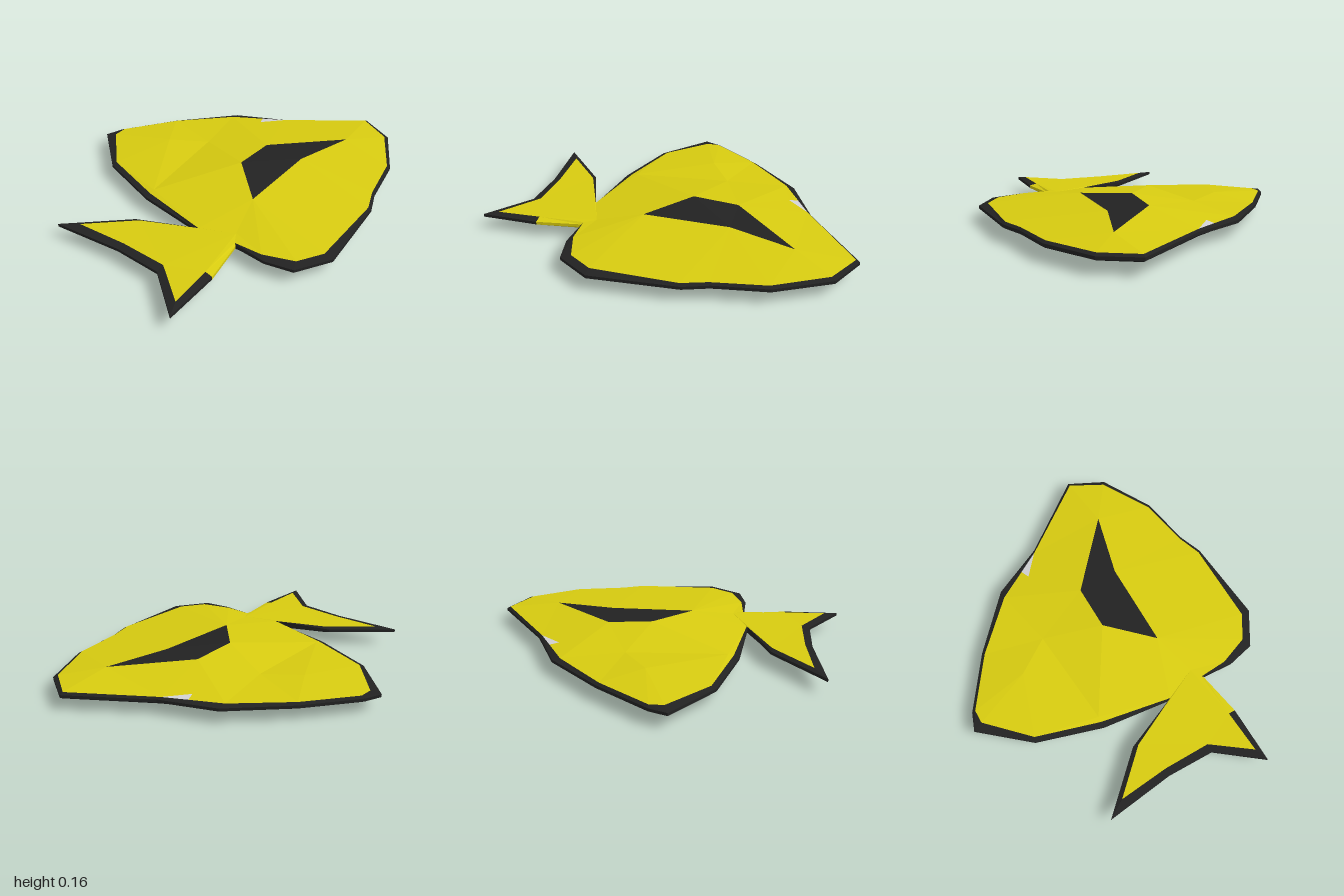
import * as THREE from 'three';

const MID = 0.082;   // height of the symmetry plane
const EDGE = 0.018;  // half thickness where faces meet the rim
const LIP = 0.008;   // half thickness at the outermost edge

// Outline, clockwise from above: outer x, outer z, inner x, inner z
const outline = [
  [-0.465, 0.16, -0.46, 0.17], [-0.42, -0.22, -0.39, -0.22], [-0.31, -0.58, -0.285, -0.57],
  [-0.095, -0.835, -0.075, -0.78], [0, -0.8, 0, -0.78], [0.28, -0.6, 0.265, -0.59],
  [0.56, -0.34, 0.515, -0.34], [0.7, -0.05, 0.68, -0.06], [0.995, 0.34, 0.975, 0.34],
  [0.9, 0.535, 0.88, 0.52], [0.625, 0.69, 0.615, 0.675], [0.35, 0.74, 0.34, 0.728],
  [0.22, 0.79, 0.21, 0.775], [-0.24, 0.83, -0.24, 0.78], [-0.42, 0.72, -0.37, 0.7],
  [-0.455, 0.57, -0.43, 0.54], [-0.445, 0.395, -0.44, 0.385],
  // tail fin
  [-0.69, 0.44, -0.69, 0.4], [-1, 0.445, -0.925, 0.415], [-0.82, 0.21, -0.775, 0.21],
  [-0.815, -0.05, -0.775, -0.05], [-0.86, -0.43, -0.8, -0.33], [-0.59, -0.14, -0.595, -0.11],
];

// Interior points: x, z, half thickness
const interior = [
  [0.07, 0.05, 0.08], [0.32, 0.05, 0.065], [0.68, 0.37, 0.043], [0.33, 0.28, 0.058], [-0.14, 0.28, 0.058], // side patch
  [-0.36, -0.22, 0.024], [0.18, -0.27, 0.034], [0.05, -0.46, 0.043], [-0.38, 0.35, 0.022], // folds
  [0.56, -0.16, 0.0245], [0.609, -0.18, EDGE], // eye corners
];

// Triangles of one side: outline points are 0-22, interior points 23-33
const skinTris = [
  0, 1, 28, 1, 2, 28, 2, 30, 28, 2, 3, 30, 3, 4, 30, 4, 5, 30, 5, 29, 30, 28, 30, 29,
  5, 6, 29, 6, 24, 29, 6, 33, 32, 6, 32, 24, 32, 7, 24, 7, 25, 24, 7, 8, 25, 8, 9, 25,
  9, 10, 25, 10, 26, 25, 10, 11, 26, 11, 12, 26, 12, 27, 26, 12, 13, 27, 13, 14, 27,
  14, 15, 27, 15, 31, 27, 15, 16, 31, 0, 27, 31, 0, 28, 27, 28, 23, 27, 28, 29, 23, 29, 24, 23,
];
const tailTris = [16, 17, 31, 17, 18, 19, 17, 19, 31, 19, 20, 22, 20, 21, 22, 19, 22, 31, 22, 0, 31];
const patchTris = [23, 24, 26, 24, 25, 26, 23, 26, 27];
const eyeTris = [33, 7, 32];

const points = [...outline.map(([, , x, z]) => [x, z, EDGE]), ...interior];

function toGeometry(corners) {
  const geo = new THREE.BufferGeometry().setFromPoints(corners);
  geo.computeVertexNormals();
  return geo;
}

// Builds triangles on the upper (side = 1) or lower (side = -1) face, turned outward
function faceGeometry(tris, side) {
  const corners = [];
  for (let i = 0; i < tris.length; i += 3) {
    const [a, b, c] = tris.slice(i, i + 3).map((k) => {
      const [x, z, h] = points[k];
      return new THREE.Vector3(x, MID + side * h, z);
    });
    const up = b.clone().sub(a).cross(c.clone().sub(a)).y;
    corners.push(...(up * side > 0 ? [a, b, c] : [a, c, b]));
  }
  return toGeometry(corners);
}

// Bevelled edge band along the chosen outline segments
function rimGeometry(segments) {
  const column = ([ox, oz, ix, iz]) => [
    new THREE.Vector3(ix, MID - EDGE, iz), new THREE.Vector3(ox, MID - LIP, oz),
    new THREE.Vector3(ox, MID + LIP, oz), new THREE.Vector3(ix, MID + EDGE, iz),
  ];
  const corners = [];
  for (const s of segments) {
    const p = column(outline[s]);
    const q = column(outline[(s + 1) % outline.length]);
    for (let k = 0; k < 3; k++) corners.push(p[k], p[k + 1], q[k + 1], p[k], q[k + 1], q[k]);
  }
  return toGeometry(corners);
}

export function createModel() {
  const material = (name, color) => {
    const m = new THREE.MeshStandardMaterial({ color, flatShading: true });
    m.name = name;
    return m;
  };
  const yellow = material('yellow', 0xd8cc10);
  const black = material('black', 0x222222);
  const grey = material('paleGrey', 0xd2d2d4);

  const fish = new THREE.Group();
  fish.name = 'fish';
  const add = (name, geometry, mat) => {
    const mesh = new THREE.Mesh(geometry, mat);
    mesh.name = name;
    fish.add(mesh);
  };

  // Two mirrored faces
  for (const [label, side] of [['upper', 1], ['lower', -1]]) {
    add(label + 'Body', faceGeometry(skinTris, side), yellow);
    add(label + 'Tail', faceGeometry(tailTris, side), yellow);
    add(label + 'SidePatch', faceGeometry(patchTris, side), black);
    add(label + 'Eye', faceGeometry(eyeTris, side), grey);
  }

  // Dark rim all round, except the yellow root of the tail
  const tailRoot = 16;
  add('rim', rimGeometry([...outline.keys()].filter((s) => s !== tailRoot)), black);
  add('tailRootEdge', rimGeometry([tailRoot]), yellow);
  return fish;
}
